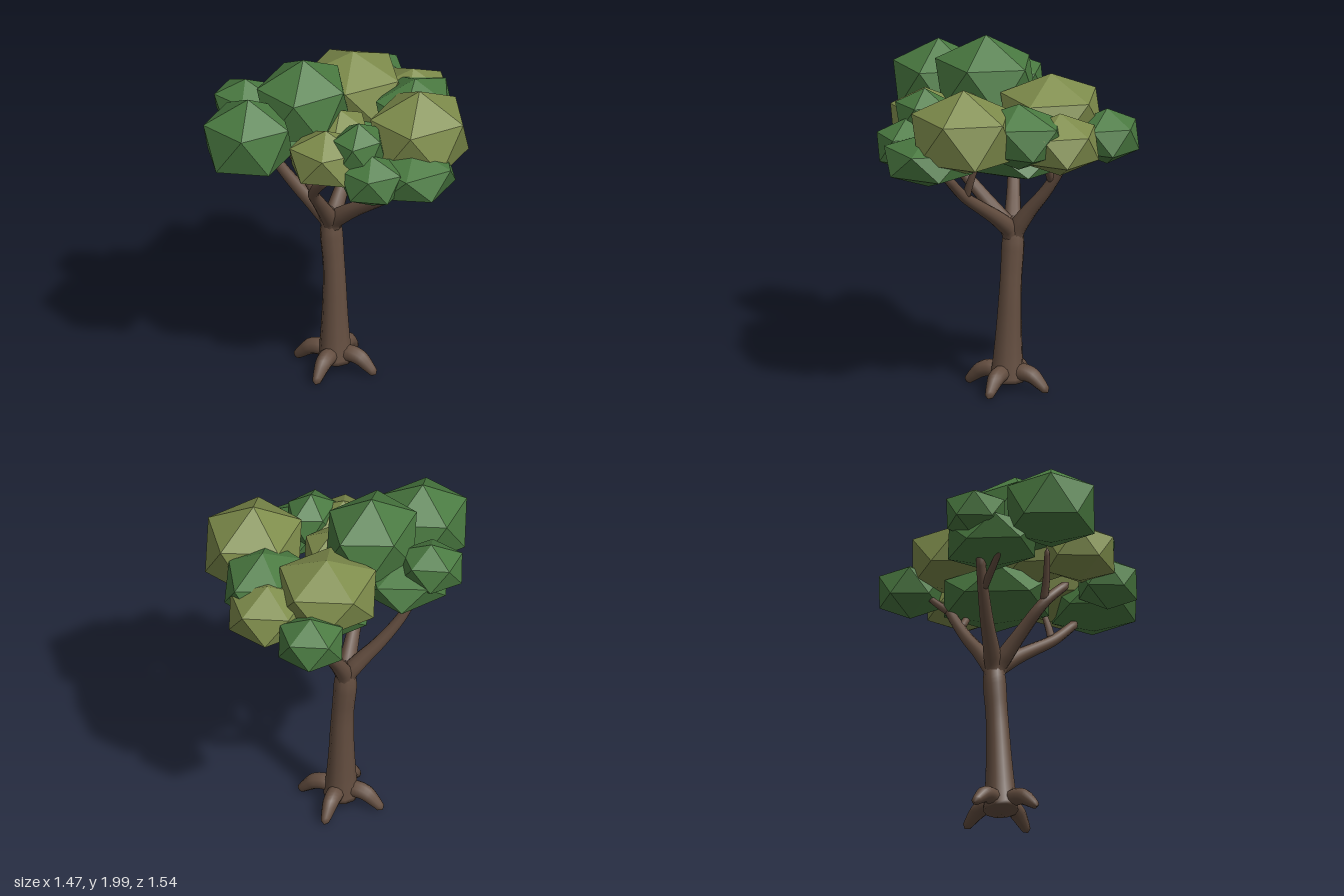
import * as THREE from 'three';
import { mergeVertices } from 'three/addons/utils/BufferGeometryUtils.js';

const bark = new THREE.MeshStandardMaterial({ color: 0x644e40 });
const green = new THREE.MeshStandardMaterial({ color: 0x4a7a41 });
const olive = new THREE.MeshStandardMaterial({ color: 0x7f8d4c });
bark.name = 'bark brown';
green.name = 'leaf green';
olive.name = 'leaf olive';

// Round limb along a path; radii are spread evenly along it and both ends close.
function limb(name, path, radii, segments = 14) {
  const curve = new THREE.CatmullRomCurve3(path.map((p) => new THREE.Vector3(...p)));
  const sides = 10;
  const geo = new THREE.TubeGeometry(curve, segments, 1, sides, false);
  const pos = geo.attributes.position;
  const v = new THREE.Vector3();
  for (let i = 0; i <= segments; i++) {
    const t = i / segments;
    const centre = curve.getPointAt(t);
    const f = t * (radii.length - 1);
    const k = Math.min(Math.floor(f), radii.length - 2);
    let r = THREE.MathUtils.lerp(radii[k], radii[k + 1], f - k);
    if (i === 0 || i === segments) r = 0.0005;
    for (let j = 0; j <= sides; j++) {
      const n = i * (sides + 1) + j;
      v.fromBufferAttribute(pos, n).sub(centre).multiplyScalar(r).add(centre);
      pos.setXYZ(n, v.x, v.y, v.z);
    }
  }
  geo.deleteAttribute('uv');
  geo.deleteAttribute('normal');
  const smooth = mergeVertices(geo, 1e-5);
  smooth.computeVertexNormals();
  const mesh = new THREE.Mesh(smooth, bark);
  mesh.name = name;
  return mesh;
}

// Squashed icosahedron with one corner pointing straight up.
// Half width and half depth are those of the outline seen from above;
// belly below 1 pulls the lowest corner up for a flatter underside.
function clump(name, material, [x, y, z], [halfW, halfH, halfD], belly = 1) {
  const geo = new THREE.IcosahedronGeometry(1, 0);
  geo.rotateZ(Math.atan(2 / (1 + Math.sqrt(5))));
  geo.rotateY(Math.PI / 5);
  const pos = geo.attributes.position;
  for (let i = 0; i < pos.count; i++) {
    if (pos.getY(i) < -0.9) pos.setY(i, -belly);
  }
  geo.scale(halfW / 0.894, halfH, halfD / 0.85);
  geo.computeVertexNormals();
  const mesh = new THREE.Mesh(geo, material);
  mesh.position.set(x, y, z);
  mesh.name = name;
  return mesh;
}

export function createModel() {
  const tree = new THREE.Group();
  tree.name = 'tree';

  // Trunk, narrowing into the fork
  tree.add(limb('trunk',
    [[-0.08, 0.03, -0.025], [-0.085, 0.25, -0.03], [-0.095, 0.6, -0.04],
      [-0.115, 0.85, -0.045], [-0.115, 1.0, -0.045]],
    [0.1, 0.092, 0.084, 0.078, 0.073, 0.069, 0.066, 0.063, 0.062, 0.064, 0.065, 0.055, 0.015], 40));

  // Four roots arching out to the ground
  const roots = new THREE.Group();
  roots.name = 'roots';
  for (let i = 0; i < 4; i++) {
    const root = limb('root',
      [[0.04, 0.1, 0], [0.09, 0.112, 0], [0.15, 0.1, 0], [0.2, 0.06, 0], [0.25, 0.012, 0]],
      [0.045, 0.049, 0.045, 0.034, 0.02]);
    root.position.set(-0.08, 0, -0.025);
    root.rotation.y = i * Math.PI / 2;
    roots.add(root);
  }
  tree.add(roots);

  // Main branches and their twigs
  const fork = [-0.115, 0.82, -0.045];
  const branches = new THREE.Group();
  branches.name = 'branches';
  const thick = [0.045, 0.05, 0.04, 0.034, 0.029, 0.025];
  const thin = [0.024, 0.02, 0.014];
  branches.add(
    limb('leftBranch', [fork, [-0.09, 0.92, -0.035], [0.0, 1.005, -0.01], [0.14, 1.105, 0.03],
      [0.28, 1.205, 0.07], [0.45, 1.37, 0.11]], thick, 20),
    limb('rightBranch', [fork, [-0.135, 0.92, -0.035], [-0.19, 1.0, -0.01], [-0.285, 1.12, 0.03],
      [-0.39, 1.28, 0.08], [-0.47, 1.45, 0.12]], thick, 20),
    limb('frontBranch', [fork, [-0.113, 0.92, -0.025], [-0.105, 1.0, 0.04], [-0.095, 1.11, 0.14],
      [-0.07, 1.25, 0.265], [0.06, 1.4, 0.34]], thick, 20),
    limb('backBranch', [fork, [-0.115, 0.92, -0.065], [-0.11, 1.02, -0.13], [-0.1, 1.17, -0.25],
      [-0.09, 1.34, -0.36], [-0.09, 1.42, -0.4]], thick, 20),
    limb('leftTwig', [[0.27, 1.2, 0.065], [0.29, 1.29, 0.03], [0.3, 1.42, -0.02]], thin),
    limb('rightTwig', [[-0.385, 1.26, 0.075], [-0.42, 1.36, 0.17], [-0.45, 1.45, 0.25]], thin),
    limb('frontTwig', [[-0.07, 1.25, 0.26], [-0.11, 1.37, 0.31], [-0.17, 1.52, 0.36]], thin),
    limb('backTwig', [[-0.095, 1.24, -0.29], [-0.02, 1.33, -0.3], [0.06, 1.43, -0.31]], thin),
    limb('backTipTwig', [[-0.09, 1.35, -0.36], [-0.11, 1.42, -0.44], [-0.13, 1.5, -0.52]], thin));
  tree.add(branches);

  // Canopy: colour, centre, half sizes, belly
  const crown = new THREE.Group();
  crown.name = 'canopy';
  const clumps = [
    [green, [-0.19, 1.73, 0.155], [0.25, 0.27, 0.275], 0.7],
    [green, [-0.35, 1.64, 0.52], [0.25, 0.25, 0.24], 0.8],
    [green, [-0.55, 1.64, 0.15], [0.18, 0.15, 0.155]],
    [green, [-0.4, 1.53, 0.15], [0.235, 0.15, 0.25]],
    [green, [0.02, 1.42, -0.13], [0.295, 0.155, 0.295]],
    [green, [0.29, 1.6, -0.27], [0.2, 0.19, 0.26]],
    [green, [-0.135, 1.53, -0.61], [0.185, 0.16, 0.17]],
    [green, [0.51, 1.47, 0.18], [0.225, 0.155, 0.24]],
    [green, [0.35, 1.485, 0.39], [0.18, 0.155, 0.155]],
    [green, [0.24, 1.63, 0.33], [0.135, 0.16, 0.16]],
    [olive, [0.45, 1.61, -0.005], [0.27, 0.27, 0.28], 0.8],
    [olive, [-0.1, 1.64, -0.285], [0.28, 0.22, 0.27], 0.8],
    [olive, [0.18, 1.55, -0.47], [0.22, 0.18, 0.205]],
    [olive, [0.075, 1.56, 0.405], [0.21, 0.18, 0.18], 0.9],
    [olive, [0.03, 1.58, 0.14], [0.165, 0.15, 0.17]],
  ];
  clumps.forEach(([material, centre, size, belly]) =>
    crown.add(clump('leafClump', material, centre, size, belly)));
  tree.add(crown);

  return tree;
}
